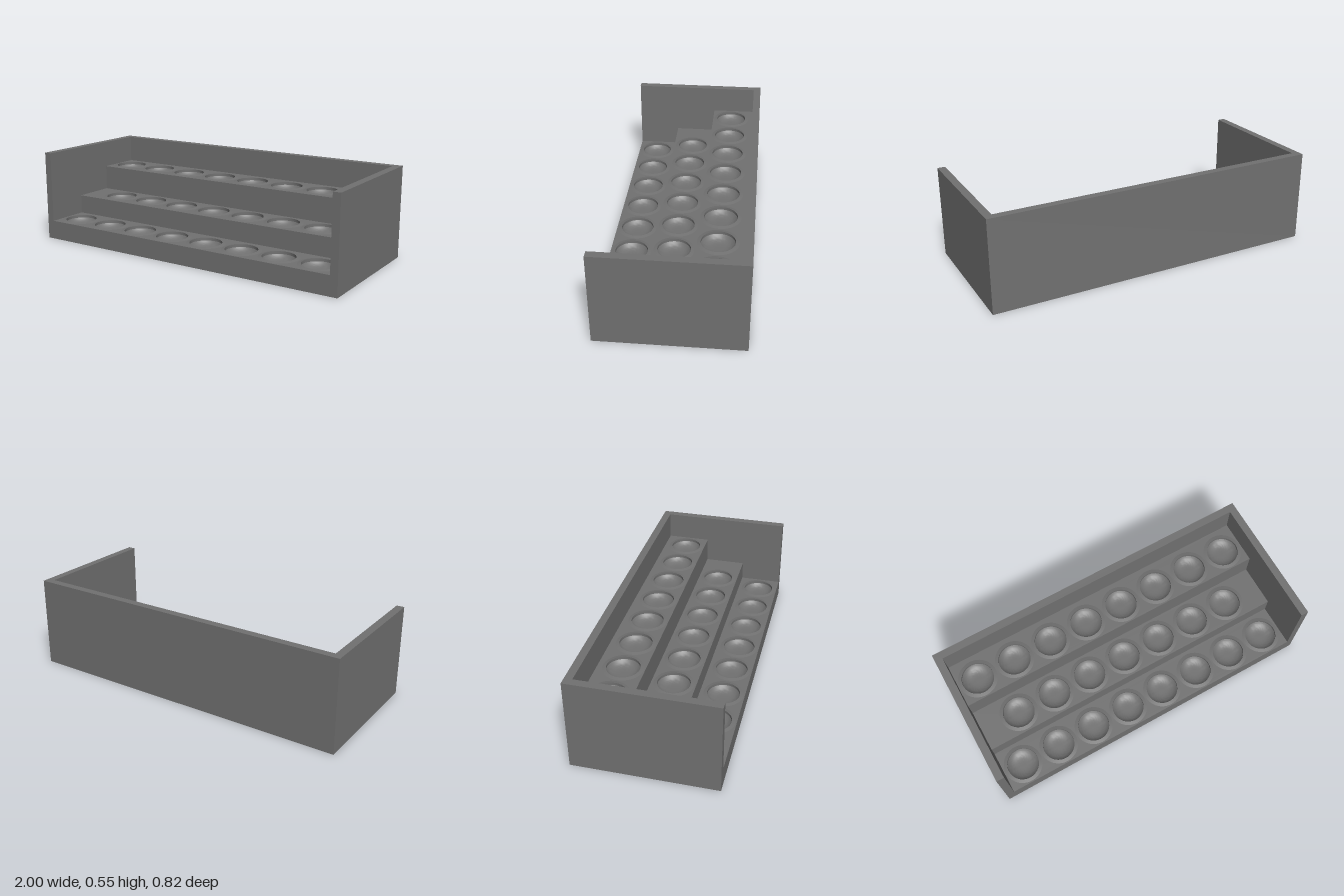
import * as THREE from 'three';
import { toCreasedNormals } from 'three/addons/utils/BufferGeometryUtils.js';

const material = new THREE.MeshStandardMaterial({ color: 0x717171 });
const HALF_X = 1, HALF_Z = 0.41, HEIGHT = 0.545, WALL = 0.045;
const INNER_X = HALF_X - WALL;
const RADIUS = 0.094, SPACING = 0.238, SEGMENTS = 48;
const SLAB = 0.06, LIP = 0.012, DEPTH = 0.042;

function addMesh(parent, name, geometry, x = 0, y = 0, z = 0) {
  const mesh = new THREE.Mesh(geometry, material);
  mesh.name = name;
  mesh.position.set(x, y, z);
  parent.add(mesh);
}

// Extrudes a plan outline upwards; the outline's y is -z
function extrudeUp(shape, height) {
  const geometry = new THREE.ExtrudeGeometry(shape, { depth: height, bevelEnabled: false, curveSegments: SEGMENTS });
  geometry.rotateX(-Math.PI / 2);
  return toCreasedNormals(geometry, 0.6);
}

function outline(points) {
  return new THREE.Shape(points.map(([x, z]) => new THREE.Vector2(x, -z)));
}

// Round cup: barely raised rim, short wall, then a floor that flattens to the centre
function cupGeometry() {
  const points = [new THREE.Vector2(0.12, -0.001), new THREE.Vector2(RADIUS, 0.004)];
  for (let i = 0; i <= 12; i++) {
    const t = 1 - (i / 12) ** 1.5;
    points.push(new THREE.Vector2(RADIUS * t, -DEPTH + (DEPTH - LIP) * t ** 4));
  }
  return toCreasedNormals(new THREE.LatheGeometry(points, SEGMENTS), 0.45);
}

// One step: solid riser below, tread slab with a row of round cups on top
function createStep(name, top, back, front, cupZ, count, cup) {
  const step = new THREE.Group();
  step.name = name;
  const base = top - SLAB;
  addMesh(step, 'riser', new THREE.BoxGeometry(INNER_X * 2, base, front - back), 0, base / 2, (front + back) / 2);

  const tread = outline([[-INNER_X, front], [INNER_X, front], [INNER_X, back], [-INNER_X, back]]);
  for (let i = 0; i < count; i++) {
    const x = (i - (count - 1) / 2) * SPACING;
    tread.holes.push(new THREE.Path().absarc(x, -cupZ, RADIUS + 0.005, 0, Math.PI * 2, true));
    addMesh(step, 'cup', cup, x, top, cupZ);
  }
  addMesh(step, 'tread', extrudeUp(tread, SLAB), 0, base, 0);
  return step;
}

export function createModel() {
  const model = new THREE.Group();
  model.name = 'steppedRack';

  // Back and side walls in one U-shaped piece, open to the front
  const walls = outline([
    [-HALF_X, HALF_Z], [-INNER_X, HALF_Z], [-INNER_X, -HALF_Z + WALL], [INNER_X, -HALF_Z + WALL],
    [INNER_X, HALF_Z], [HALF_X, HALF_Z], [HALF_X, -HALF_Z], [-HALF_X, -HALF_Z],
  ]);
  addMesh(model, 'walls', extrudeUp(walls, HEIGHT));

  // Three steps with staggered cups
  const cup = cupGeometry();
  model.add(
    createStep('frontStep', 0.115, 0.153, HALF_Z, 0.288, 8, cup),
    createStep('middleStep', 0.23, -0.1, 0.153, 0.028, 7, cup),
    createStep('backStep', 0.382, -HALF_Z + WALL, -0.1, -0.222, 8, cup),
  );
  return model;
}
